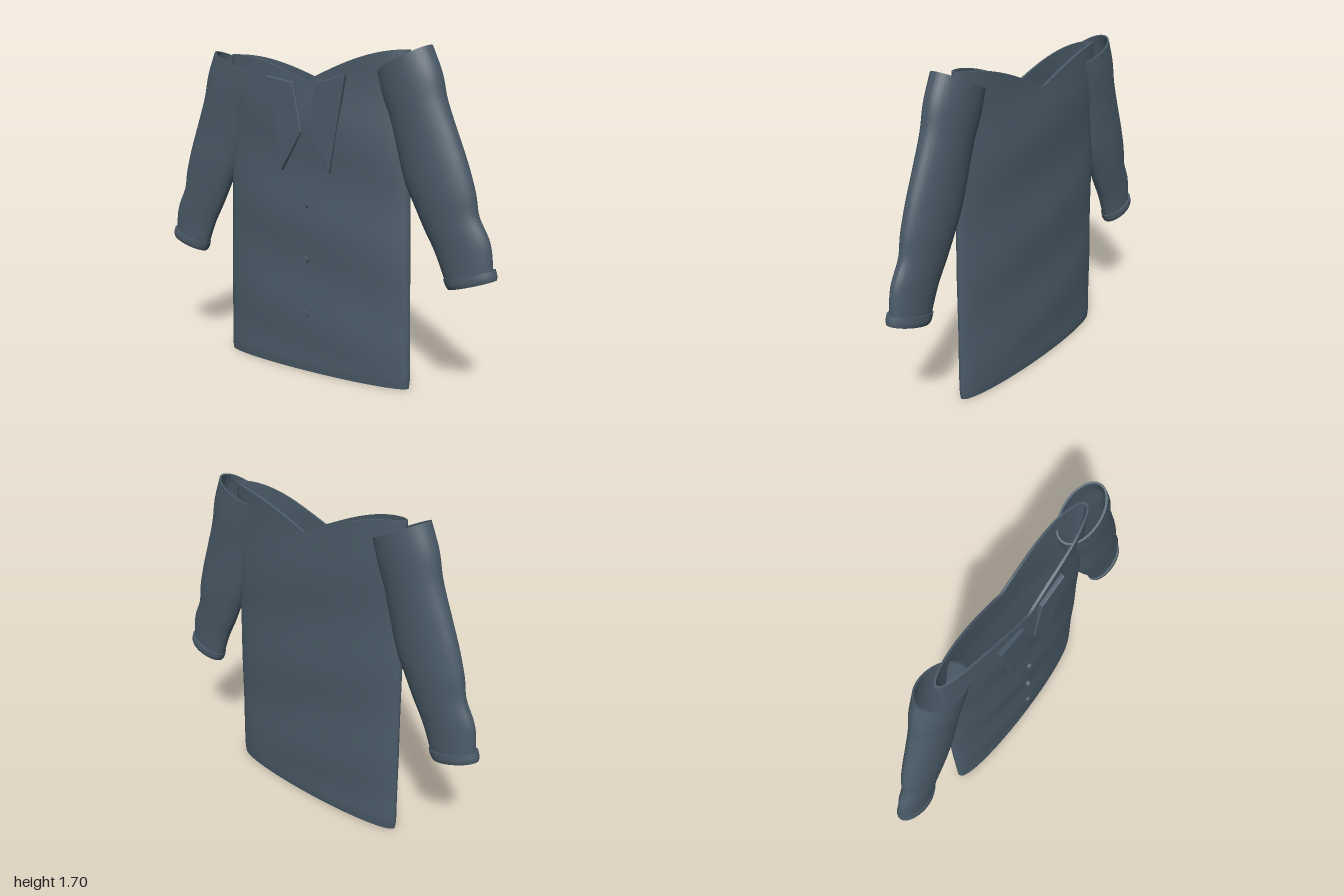
import * as THREE from 'three';
import { toCreasedNormals } from 'three/addons/utils/BufferGeometryUtils.js';

const SEG = 96;

// Closed shell: rows run down the outside and back up the inside.
function shell(point, steps, wall, round = 0) {
  const rows = [];
  for (let i = 0; i <= steps; i++) {
    const t = i / steps;
    // the last rows can curl inward to soften the hem
    rows.push([t, i === steps ? round : i === steps - 1 ? round * 0.3 : 0]);
  }
  for (let i = steps; i >= 0; i--) rows.push([i / steps, wall]);
  const pos = [], idx = [];
  for (const [t, inset] of rows) {
    for (let j = 0; j < SEG; j++) pos.push(...point(t, (j / SEG) * Math.PI * 2, inset));
  }
  const n = rows.length;
  for (let i = 0; i < n; i++) {
    for (let j = 0; j < SEG; j++) {
      const k = (j + 1) % SEG, r = ((i + 1) % n) * SEG;
      const a = i * SEG + j, b = i * SEG + k, c = r + j, d = r + k;
      idx.push(a, b, c, b, d, c);
    }
  }
  const g = new THREE.BufferGeometry();
  g.setAttribute('position', new THREE.Float32BufferAttribute(pos, 3));
  g.setIndex(idx);
  return toCreasedNormals(g, 0.9);
}

// Torso: flat ellipse with soft ripples and a V neckline
function bodyPoint(t, a, inset) {
  const ca = Math.cos(a), sa = Math.sin(a);
  const top = 1.535 + 0.143 * Math.sin(Math.abs(ca) * Math.PI / 2);
  const y = top * (1 - t);
  const hx = 0.57 - 0.022 * y - inset;
  const ripple = 0.006 * Math.sin((y + 0.15 * ca - 0.68) * Math.PI * 2 / 0.52);
  const hz = 0.09 + ripple * Math.min(1, y * 6) - inset;
  return [hx * ca, y, hz * sa - 0.005];
}

// Sleeve or cuff: pairs of [outer x, outer y, inner x, inner y, half depth]
function sleevePoint(pairs, side) {
  const outer = new THREE.CatmullRomCurve3(pairs.map(p => new THREE.Vector3(p[0] * side, p[1], p[4])));
  const inner = new THREE.CatmullRomCurve3(pairs.map(p => new THREE.Vector3(p[2] * side, p[3], p[4])));
  return (t, a, inset) => {
    const o = outer.getPoint(t), i = inner.getPoint(t);
    const [l, r] = side > 0 ? [i, o] : [o, i];
    const half = Math.hypot(r.x - l.x, r.y - l.y) / 2;
    const k = Math.cos(a) * (half - inset) / half / 2;
    return [
      (l.x + r.x) / 2 + (r.x - l.x) * k,
      (l.y + r.y) / 2 + (r.y - l.y) * k,
      (o.z - inset) * Math.sin(a) - 0.07 * Math.max(0, o.z - 0.05),
    ];
  };
}

const SLEEVE = [
  [0.642, 1.697, 0.358, 1.570, 0.094],
  [0.695, 1.570, 0.390, 1.460, 0.092],
  [0.725, 1.450, 0.437, 1.345, 0.086],
  [0.790, 1.280, 0.485, 1.175, 0.080],
  [0.840, 1.150, 0.525, 1.050, 0.078],
  [0.880, 1.020, 0.578, 0.940, 0.074],
  [0.900, 0.920, 0.630, 0.835, 0.066],
  [0.958, 0.800, 0.690, 0.725, 0.060],
  [0.980, 0.650, 0.752, 0.575, 0.056],
];
const CUFF = [
  [0.988, 0.680, 0.736, 0.600, 0.066],
  [0.995, 0.657, 0.747, 0.575, 0.068],
  [1.000, 0.632, 0.760, 0.552, 0.066],
];

// Pointed collar flap
function collarGeometry(side) {
  const pts = [[0.228, 1.555], [0.074, 1.523], [0.026, 1.28], [0.144, 1.085]];
  const shape = new THREE.Shape(pts.map(p => new THREE.Vector2(p[0] * side, p[1])));
  return new THREE.ExtrudeGeometry(shape, {
    depth: 0.014, bevelEnabled: true, bevelThickness: 0.006, bevelSize: 0.007, bevelSegments: 2,
  });
}

export function createModel() {
  const cloth = new THREE.MeshStandardMaterial({ color: 0x4a5a67 });
  cloth.name = 'slate cloth';
  const group = new THREE.Group();
  group.name = 'shirt';
  const add = (name, geometry) => {
    const mesh = new THREE.Mesh(geometry, cloth);
    mesh.name = name;
    group.add(mesh);
    return mesh;
  };

  add('body', shell(bodyPoint, 60, 0.013, 0.007));

  for (const [side, label] of [[1, 'left'], [-1, 'right']]) {
    add(label + 'Sleeve', shell(sleevePoint(SLEEVE, side), 48, 0.01));
    add(label + 'Cuff', shell(sleevePoint(CUFF, side), 6, 0.018, 0.004));
    add(label + 'Collar', collarGeometry(side)).position.z = 0.079;
  }

  // Front buttons
  [0.905, 0.615, 0.325].forEach((y, i) => {
    const button = add('button' + (i + 1), new THREE.CylinderGeometry(0.019, 0.019, 0.03, 24));
    button.rotation.x = Math.PI / 2;
    button.position.set(0, y, 0.088);
  });

  return group;
}
